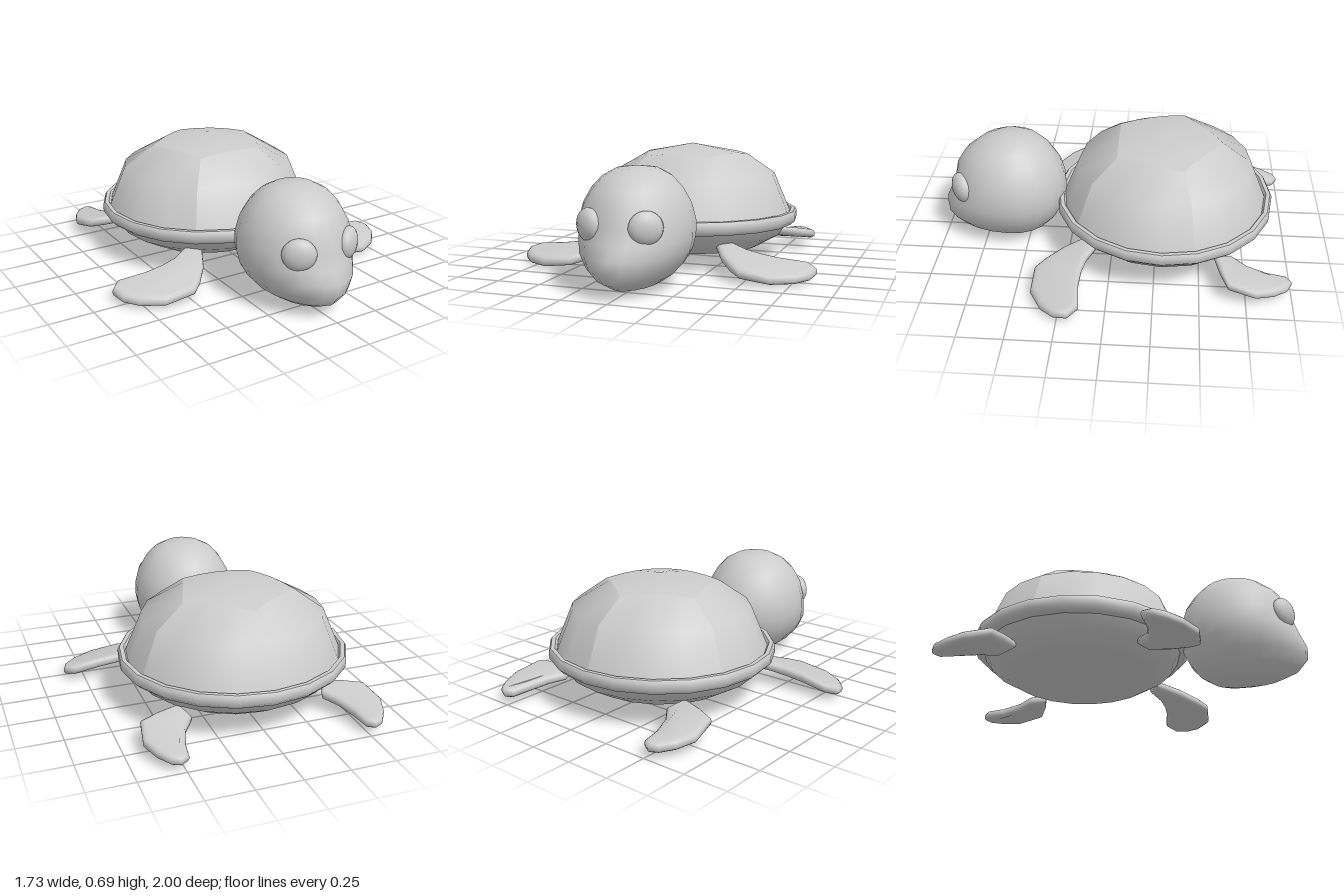
import * as THREE from 'three';
import { mergeVertices, toCreasedNormals } from 'three/addons/utils/BufferGeometryUtils.js';

const SIDES = 20;
const SHELL_Z = -0.29;
const material = new THREE.MeshStandardMaterial({ color: 0xcccccc });

function addMesh(parent, name, geometry) {
  const mesh = new THREE.Mesh(geometry, material);
  mesh.name = name;
  parent.add(mesh);
  return mesh;
}

// Skin a grid of points: rows run from top to bottom, columns turn from +z to +x
function loft(rows, cols, point) {
  const positions = [], index = [];
  for (let i = 0; i < rows; i++) {
    for (let j = 0; j <= cols; j++) positions.push(...point(i, j));
  }
  for (let i = 0; i < rows - 1; i++) {
    for (let j = 0; j < cols; j++) {
      const a = i * (cols + 1) + j, b = a + cols + 1;
      index.push(a, b, a + 1, b, b + 1, a + 1);
    }
  }
  const geometry = new THREE.BufferGeometry();
  geometry.setAttribute('position', new THREE.Float32BufferAttribute(positions, 3));
  geometry.setIndex(index);
  const welded = mergeVertices(geometry, 1e-4);
  welded.computeVertexNormals();
  return welded;
}

const angleOf = (j) => (j / SIDES) * Math.PI * 2 + Math.PI; // column 0 at the back
const ring = (j, r, y) => [r * Math.sin(angleOf(j)), y, r * Math.cos(angleOf(j))];

// Straight-sided pentagon around the crown, bowed up a little mid-edge
function pentagon(j) {
  const k = Math.floor(j / 4) * 4, t = (j - k) / 4;
  const a = ring(k, 0.335, 0), b = ring(k + 4, 0.335, 0);
  return [a[0] + (b[0] - a[0]) * t, 0.625 + 0.06 * t * (1 - t), a[2] + (b[2] - a[2]) * t];
}

function lathe(profile) {
  return new THREE.LatheGeometry(profile.map(([r, y]) => new THREE.Vector2(r, y)), SIDES);
}

function createShell() {
  const shell = new THREE.Group();
  shell.name = 'shell';
  shell.position.z = SHELL_Z;
  shell.scale.z = 0.975;

  addMesh(shell, 'crownPlate', loft(2, SIDES, (i, j) => (i === 0 ? [0, 0.69, 0] : pentagon(j))));

  // Five side plates with creases between them
  for (let p = 0; p < 5; p++) {
    addMesh(shell, 'sidePlate', loft(4, 4, (i, n) => {
      const j = p * 4 + n;
      if (i === 0) return pentagon(j);
      return ring(j, [0, 0.5, 0.59, 0.605][i], [0, 0.51, 0.295, 0.25][i]);
    }));
  }

  addMesh(shell, 'rim', toCreasedNormals(lathe([
    [0.58, 0.22], [0.615, 0.222], [0.638, 0.245], [0.638, 0.285],
    [0.628, 0.3], [0.605, 0.3], [0.59, 0.275]]), 0.9));

  addMesh(shell, 'belly', lathe([
    [0, 0.03], [0.22, 0.045], [0.42, 0.085], [0.54, 0.155], [0.595, 0.24]]));
  return shell;
}

// Head sections: height, half width, back z, front z
const HEAD = [
  [0.642, 0, 0.6, 0.6], [0.628, 0.11, 0.49, 0.71], [0.59, 0.18, 0.42, 0.79],
  [0.53, 0.235, 0.36, 0.865], [0.45, 0.28, 0.31, 0.915], [0.36, 0.303, 0.285, 0.935],
  [0.28, 0.302, 0.28, 0.965], [0.21, 0.285, 0.3, 0.998], [0.14, 0.245, 0.335, 0.995],
  [0.08, 0.19, 0.385, 0.945], [0.035, 0.125, 0.45, 0.85], [0.012, 0.06, 0.53, 0.71],
  [0.005, 0, 0.6, 0.6]];

function createHead() {
  const head = new THREE.Group();
  head.name = 'head';
  addMesh(head, 'skull', loft(HEAD.length, 20, (i, j) => {
    const [y, w, back, front] = HEAD[i];
    const a = (j / 20) * Math.PI * 2, s = Math.sin(a), c = Math.cos(a);
    // The front half narrows into the muzzle
    const x = c > 0 ? w * Math.sign(s) * Math.pow(Math.abs(s), 1.15) : w * s;
    return [x, y, 0.6 + c * (c > 0 ? front - 0.6 : 0.6 - back)];
  }));
  for (const side of [-1, 1]) {
    const eye = addMesh(head, side > 0 ? 'leftEye' : 'rightEye', new THREE.SphereGeometry(1, 16, 12));
    eye.scale.set(0.09, 0.086, 0.05);
    eye.position.set(side * 0.152, 0.365, 0.868);
    eye.rotation.y = side * 0.6;
  }
  return head;
}

// Flipper: rounded slab cut from an outline in x and z, then bent to a height rule
function flipper(outline, side, height) {
  const shape = new THREE.Shape(outline.map(([x, z]) => new THREE.Vector2(x * side, z)));
  const geometry = new THREE.ExtrudeGeometry(shape, {
    depth: 0.012, bevelEnabled: true, bevelThickness: 0.022, bevelSize: 0.028,
    bevelOffset: -0.028, bevelSegments: 3 });
  geometry.translate(0, 0, -0.006);
  geometry.rotateX(Math.PI / 2);
  const p = geometry.attributes.position;
  for (let i = 0; i < p.count; i++) {
    p.setY(i, p.getY(i) + height(Math.abs(p.getX(i)), p.getZ(i)));
  }
  return toCreasedNormals(geometry, 1.1);
}

const FRONT_FLIPPER = [
  [0.28, 0.12], [0.36, 0.07], [0.46, 0.125], [0.55, 0.145], [0.65, 0.15], [0.81, 0.135],
  [0.865, 0.19], [0.845, 0.27], [0.78, 0.345], [0.66, 0.412], [0.49, 0.412],
  [0.43, 0.36], [0.35, 0.26]];
const HIND_FLIPPER = [
  [0.41, -0.58], [0.53, -0.61], [0.635, -0.65], [0.662, -0.8], [0.625, -0.9],
  [0.575, -0.975], [0.525, -1.0], [0.48, -0.97], [0.465, -0.87], [0.43, -0.76],
  [0.37, -0.68]];

export function createModel() {
  const turtle = new THREE.Group();
  turtle.name = 'turtle';
  turtle.add(createShell(), createHead());
  for (const side of [-1, 1]) {
    const label = side > 0 ? 'left' : 'right';
    addMesh(turtle, label + 'FrontFlipper', flipper(FRONT_FLIPPER, side,
      (x, z) => 0.145 - 0.12 * (x - 0.3) - 0.2 * (z - 0.1)));
    addMesh(turtle, label + 'HindFlipper', flipper(HIND_FLIPPER, side,
      (x, z) => 0.066 + 0.06 * ((z + 1) / 0.4) ** 2));
  }
  return turtle;
}
